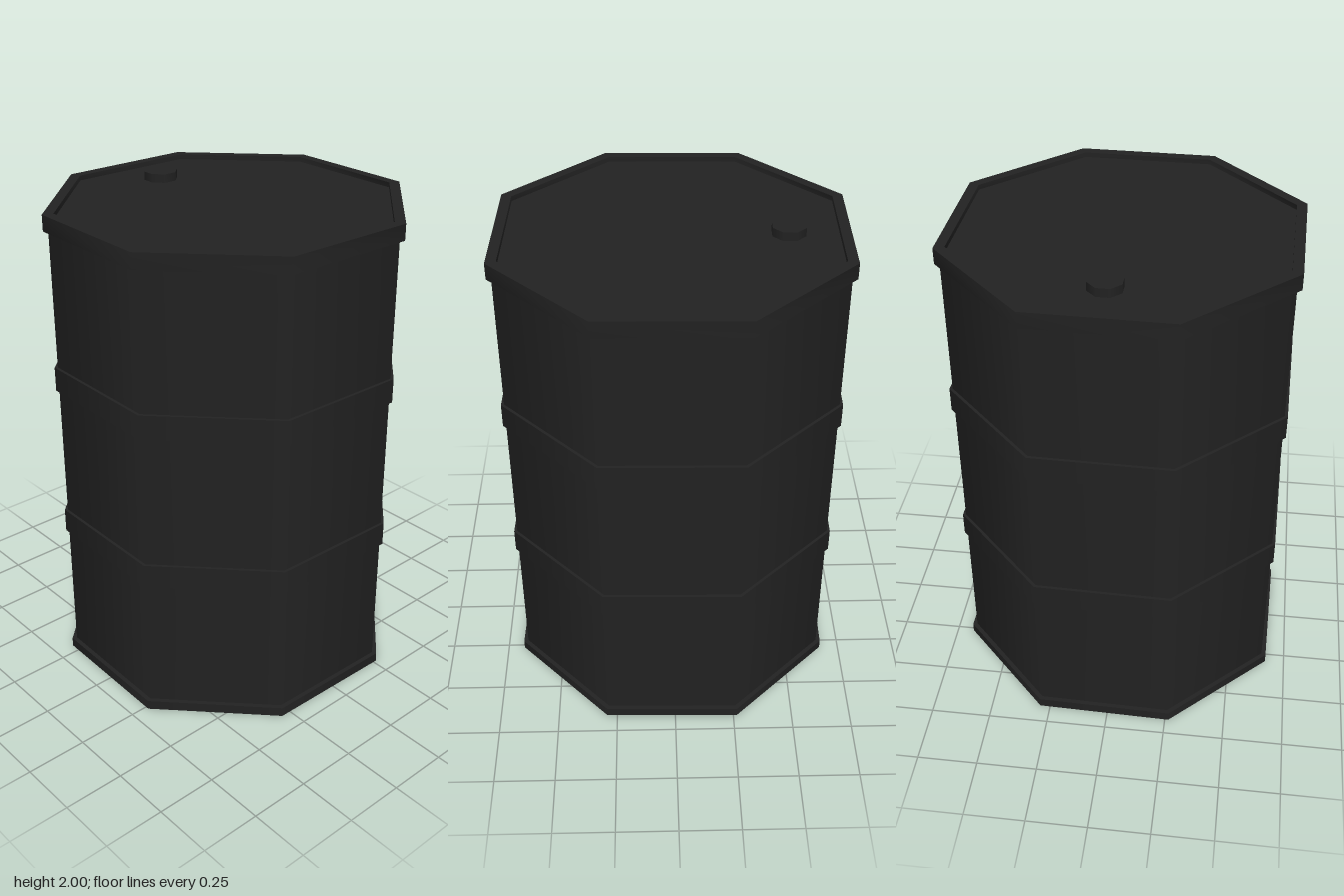
import * as THREE from 'three';
import { toCreasedNormals } from 'three/addons/utils/BufferGeometryUtils.js';

const SIDES = 8;
const TURN = THREE.MathUtils.degToRad(21.3); // slight twist of the octagon

export function createModel() {
  const drum = new THREE.Group();
  drum.name = 'drum';
  const blackSteel = new THREE.MeshStandardMaterial({ color: 0x222222 });
  blackSteel.name = 'black steel';

  const add = (name, geometry) => {
    const mesh = new THREE.Mesh(geometry, blackSteel);
    mesh.name = name;
    drum.add(mesh);
    return mesh;
  };

  // Eight-sided prism with smooth sides, from y0 to y1
  const prism = (name, radius, y0, y1) => {
    const g = new THREE.CylinderGeometry(radius, radius, y1 - y0, SIDES, 1, false, TURN);
    return add(name, g.translate(0, (y0 + y1) / 2, 0));
  };

  // Shell, with its top forming the sunken lid
  prism('body', 0.708, 0.01, 1.965);
  prism('bottomRim', 0.728, 0, 0.04);
  prism('lowerBand', 0.721, 0.605, 0.705);
  prism('upperBand', 0.721, 1.26, 1.36);

  // Raised lip around the lid
  const lip = [[0.7, 1.92], [0.728, 1.92], [0.728, 1.985], [0.684, 1.985], [0.684, 1.96]]
    .map(([r, y]) => new THREE.Vector2(r, y));
  add('topRim', toCreasedNormals(new THREE.LatheGeometry(lip, SIDES, TURN), Math.PI / 3));

  // Filler plug on the lid
  prism('fillerPlug', 0.069, 1.955, 2).position.set(-0.44, 0, -0.018);

  return drum;
}
